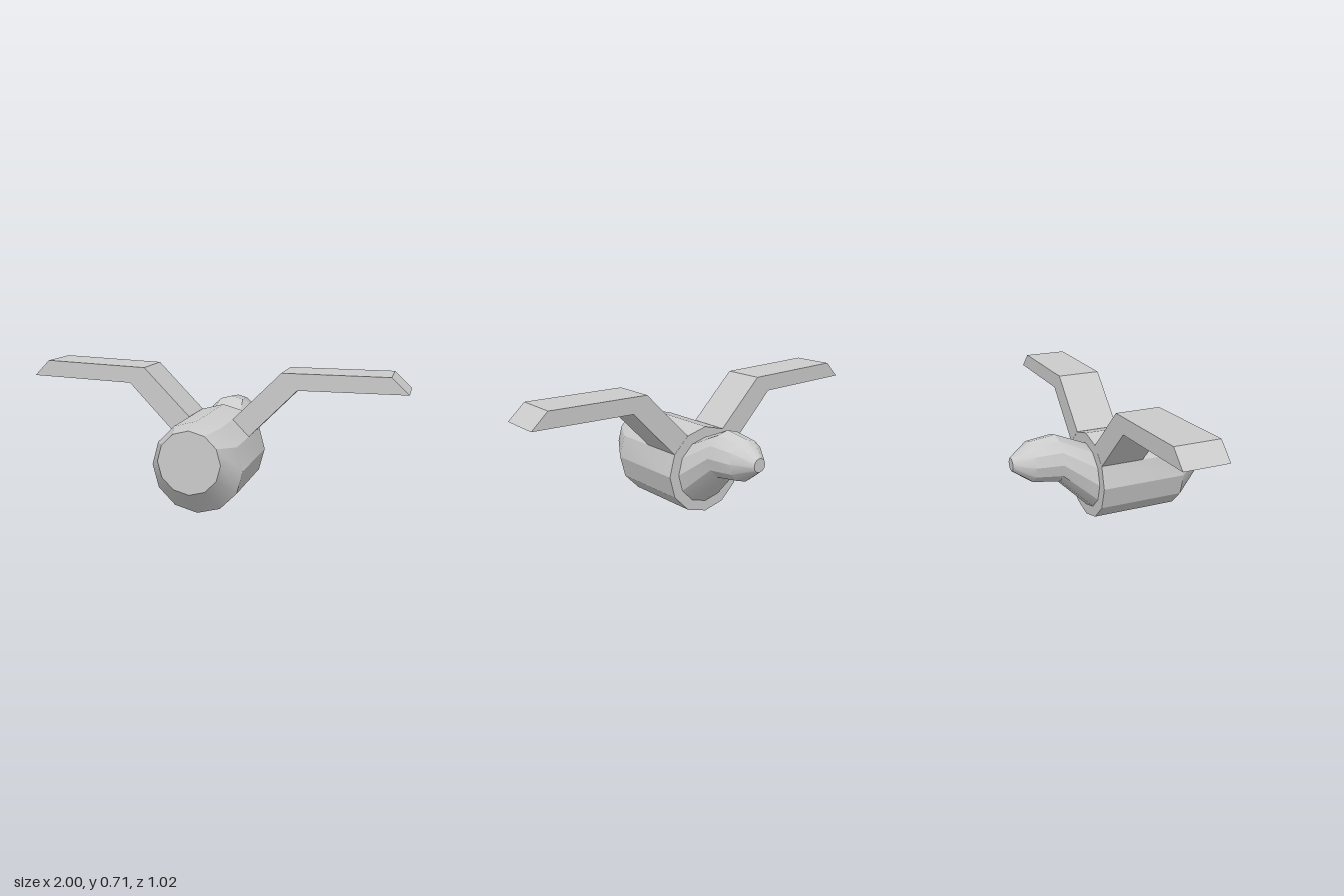
import * as THREE from 'three';
import { toCreasedNormals } from 'three/addons/utils/BufferGeometryUtils.js';

const SIDES = 12;
const CENTRE_X = 0.005;
const material = new THREE.MeshStandardMaterial({ color: 0xcccccc });

// Closed loft through round sections [z, centreY, radius], listed front to back.
function loft(sections) {
  const positions = [];
  const index = [];
  for (const [z, y, r] of sections) {
    for (let i = 0; i < SIDES; i++) {
      const a = (i / SIDES) * Math.PI * 2;
      positions.push(CENTRE_X + Math.cos(a) * r, y + Math.sin(a) * r, z);
    }
  }
  for (let s = 0; s < sections.length - 1; s++) {
    for (let i = 0; i < SIDES; i++) {
      const j = (i + 1) % SIDES;
      const a = s * SIDES + i, b = s * SIDES + j;
      index.push(a, a + SIDES, b, b, a + SIDES, b + SIDES);
    }
  }
  // Flat end caps
  const last = (sections.length - 1) * SIDES;
  for (let i = 1; i < SIDES - 1; i++) {
    index.push(0, i, i + 1);
    index.push(last, last + i + 1, last + i);
  }
  const geometry = new THREE.BufferGeometry();
  geometry.setAttribute('position', new THREE.Float32BufferAttribute(positions, 3));
  geometry.setIndex(index);
  return toCreasedNormals(geometry, 0.5);
}

// Cranked wing: a bent outline in x/y, extruded along z.
function wing(points) {
  const shape = new THREE.Shape(points.map(([x, y]) => new THREE.Vector2(x, y)));
  const geometry = new THREE.ExtrudeGeometry(shape, { depth: 0.235, bevelEnabled: false });
  return geometry.translate(0, 0, -0.09);
}

export function createModel() {
  const model = new THREE.Group();
  const add = (name, geometry) => {
    const mesh = new THREE.Mesh(geometry, material);
    mesh.name = name;
    model.add(mesh);
  };

  // Barrel body with a raised, tapered front
  add('body', loft([
    [0.51, 0.29, 0.159],
    [0.38, 0.235, 0.235],
    [-0.09, 0.235, 0.235],
  ]));

  // Narrower tail sweeping up from the rear face to a blunt tip
  add('tail', loft([
    [-0.09, 0.235, 0.178],
    [-0.265, 0.359, 0.128],
    [-0.41, 0.36, 0.109],
    [-0.51, 0.36, 0.036],
  ]));

  // Wings rise from the upper facets of the body, then level out; the right tip sits higher
  add('leftWing', wing([
    [0.209, 0.353], [0.455, 0.604], [1, 0.607],
    [0.912, 0.69], [0.373, 0.689], [0.123, 0.439],
  ]));
  add('rightWing', wing([
    [-0.199, 0.353], [-0.113, 0.439], [-0.36, 0.688],
    [-0.916, 0.706], [-1, 0.622], [-0.442, 0.604],
  ]));

  return model;
}
